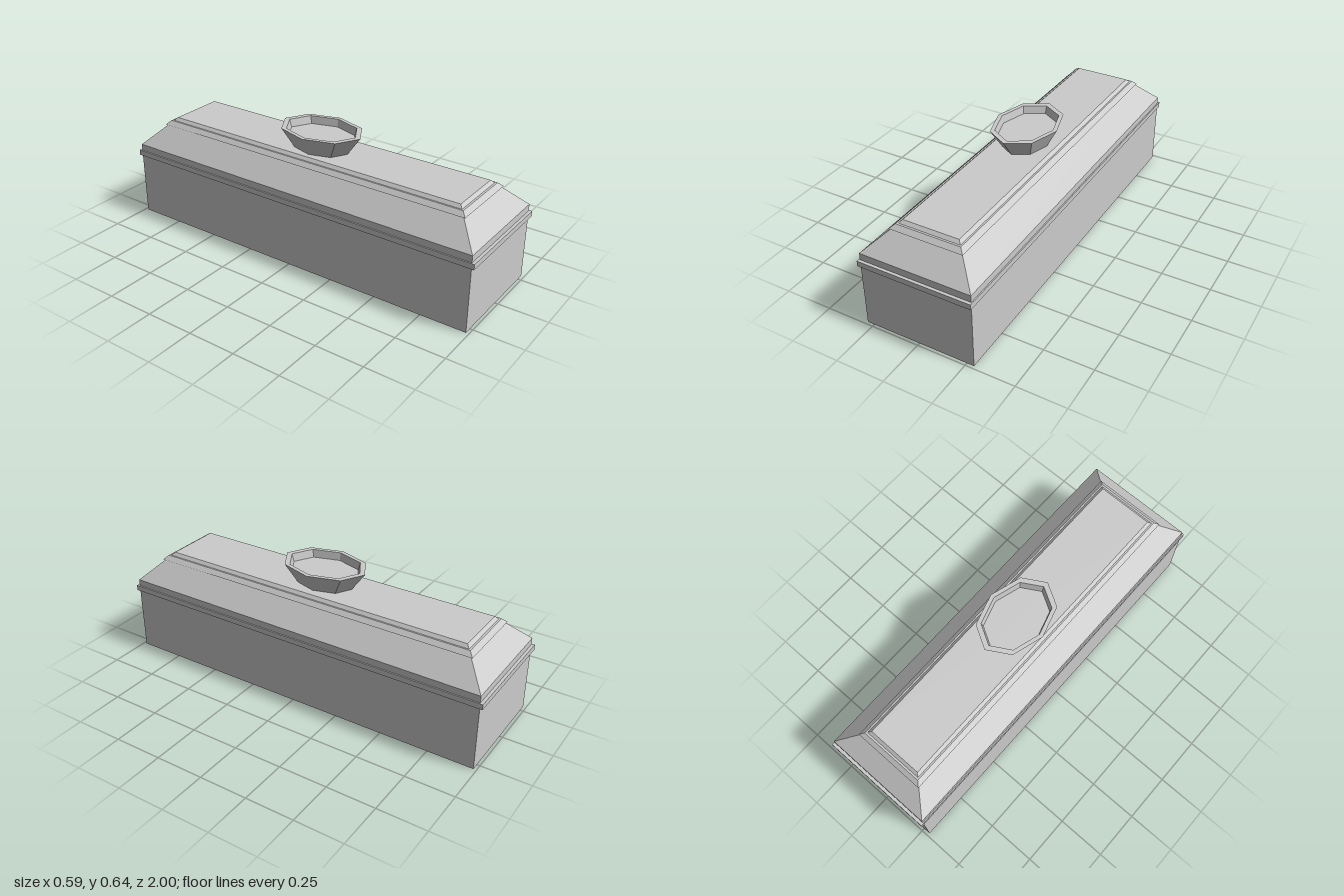
import * as THREE from 'three';

const material = new THREE.MeshStandardMaterial({ color: 0xcccccc, flatShading: true });

// Box between two heights whose top rectangle may be smaller than its bottom one (half sizes).
function taperedBox(name, y0, y1, [x0, z0], [x1, z1] = [x0, z0]) {
  const geometry = new THREE.BoxGeometry(2, 2, 2);
  const p = geometry.attributes.position;
  for (let i = 0; i < p.count; i++) {
    const top = p.getY(i) > 0;
    p.setXYZ(i, p.getX(i) * (top ? x1 : x0), top ? y1 : y0, p.getZ(i) * (top ? z1 : z0));
  }
  geometry.computeVertexNormals();
  const mesh = new THREE.Mesh(geometry, material);
  mesh.name = name;
  return mesh;
}

export function createModel() {
  const model = new THREE.Group();
  model.name = 'chest';

  // Chest with a raised band, sloped lid and two bevelled plates
  model.add(
    taperedBox('body', 0, 0.395, [0.287, 0.985]),
    taperedBox('band', 0.332, 0.36, [0.293, 1.0]),
    taperedBox('lid', 0.395, 0.501, [0.287, 0.985], [0.18, 0.878]),
    taperedBox('lowerPlate', 0.501, 0.522, [0.19, 0.89], [0.168, 0.868]),
    taperedBox('upperPlate', 0.522, 0.537, [0.16, 0.858], [0.145, 0.843]),
  );

  // Eight-sided oval bowl with a thick rim and a shallow recess
  const profile = [[0, 0], [0.111, 0], [0.163, 0.099], [0.142, 0.099], [0.134, 0.06], [0, 0.06]]
    .map(([r, y]) => new THREE.Vector2(r, y));
  const bowl = new THREE.Mesh(new THREE.LatheGeometry(profile, 8), material);
  bowl.name = 'bowl';
  bowl.scale.z = 1.39;
  bowl.position.set(-0.007, 0.537, 0);
  model.add(bowl);

  return model;
}
